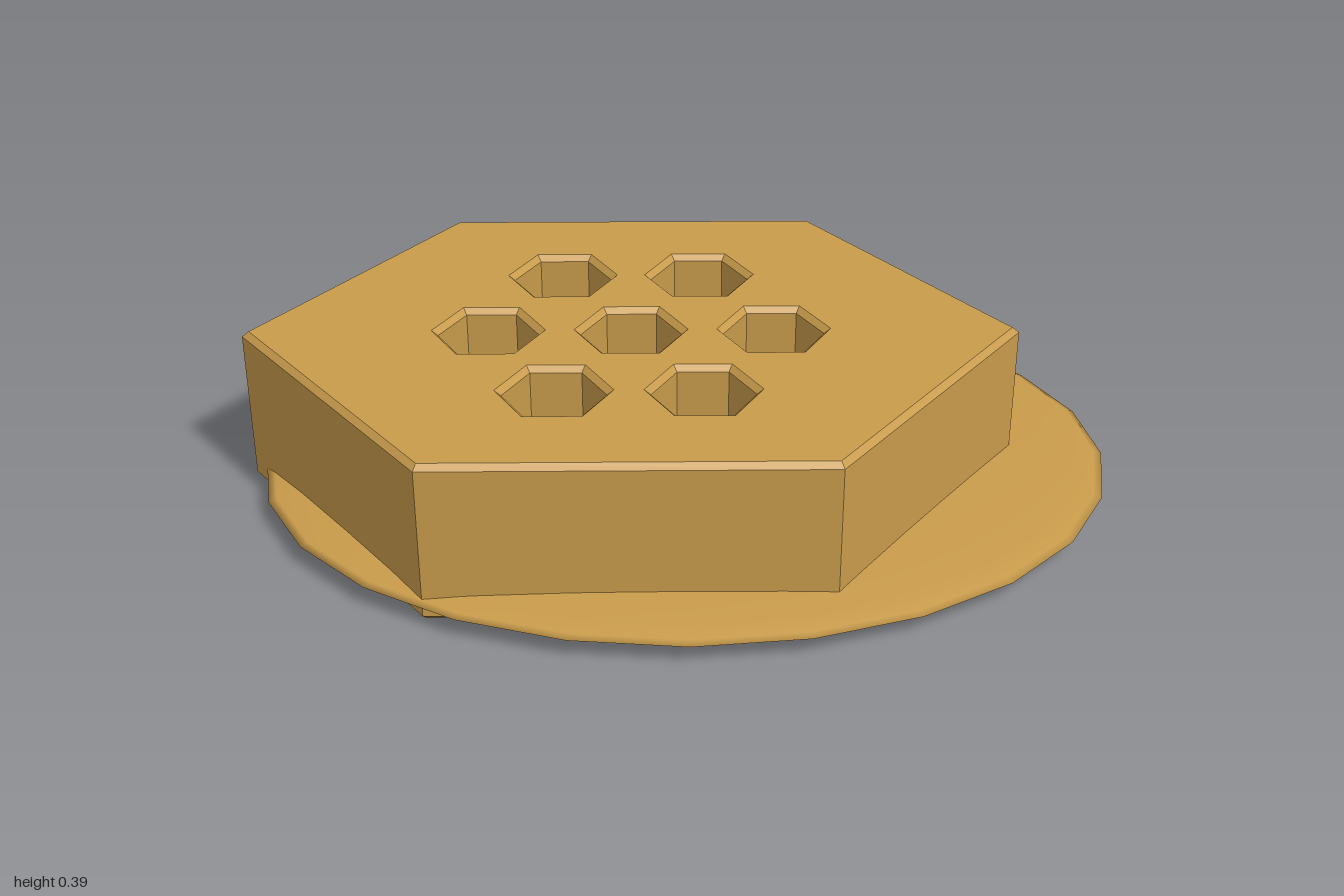
import * as THREE from 'three';

// Points of a flat-sided hexagon with corners on the x axis
function hexPoints(cx, cy, rx, ry) {
  return Array.from({ length: 6 }, (_, i) => {
    const a = (i * Math.PI) / 3;
    return new THREE.Vector2(cx + rx * Math.cos(a), cy + ry * Math.sin(a));
  });
}

export function createModel() {
  const model = new THREE.Group();
  model.name = 'honeycombBlock';

  const honey = new THREE.MeshStandardMaterial({ color: 0xc89b4b });
  honey.name = 'honey';

  const bevel = 0.013;
  const height = 0.386;
  const centreX = -0.115;

  // Hexagonal block with chamfered edges and seven cells cut through it
  const outline = new THREE.Shape(hexPoints(centreX, 0, 0.87, 0.667));
  const rows = [
    { z: -0.278, xs: [-0.28, 0.045] },
    { z: 0, xs: [-0.44, centreX, 0.21] },
    { z: 0.278, xs: [-0.28, 0.045] },
  ];
  for (const { z, xs } of rows) {
    for (const x of xs) {
      outline.holes.push(new THREE.Path(hexPoints(x, z, 0.13, 0.13).reverse()));
    }
  }
  const blockGeometry = new THREE.ExtrudeGeometry(outline, {
    depth: height - 2 * bevel,
    bevelEnabled: true,
    bevelSize: bevel,
    bevelThickness: bevel,
    bevelSegments: 1,
  });
  blockGeometry.rotateX(-Math.PI / 2).translate(0, bevel, 0);
  const block = new THREE.Mesh(blockGeometry, honey);
  block.name = 'hexBlock';
  model.add(block);

  // Thin oval disc around the foot of the block, closing the cells
  const discGeometry = new THREE.SphereGeometry(1, 24, 16);
  discGeometry.scale(0.983, 0.039, 0.755);
  const disc = new THREE.Mesh(discGeometry, honey);
  disc.name = 'ovalDisc';
  disc.position.set(0.008, 0.049, 0);
  model.add(disc);

  return model;
}
